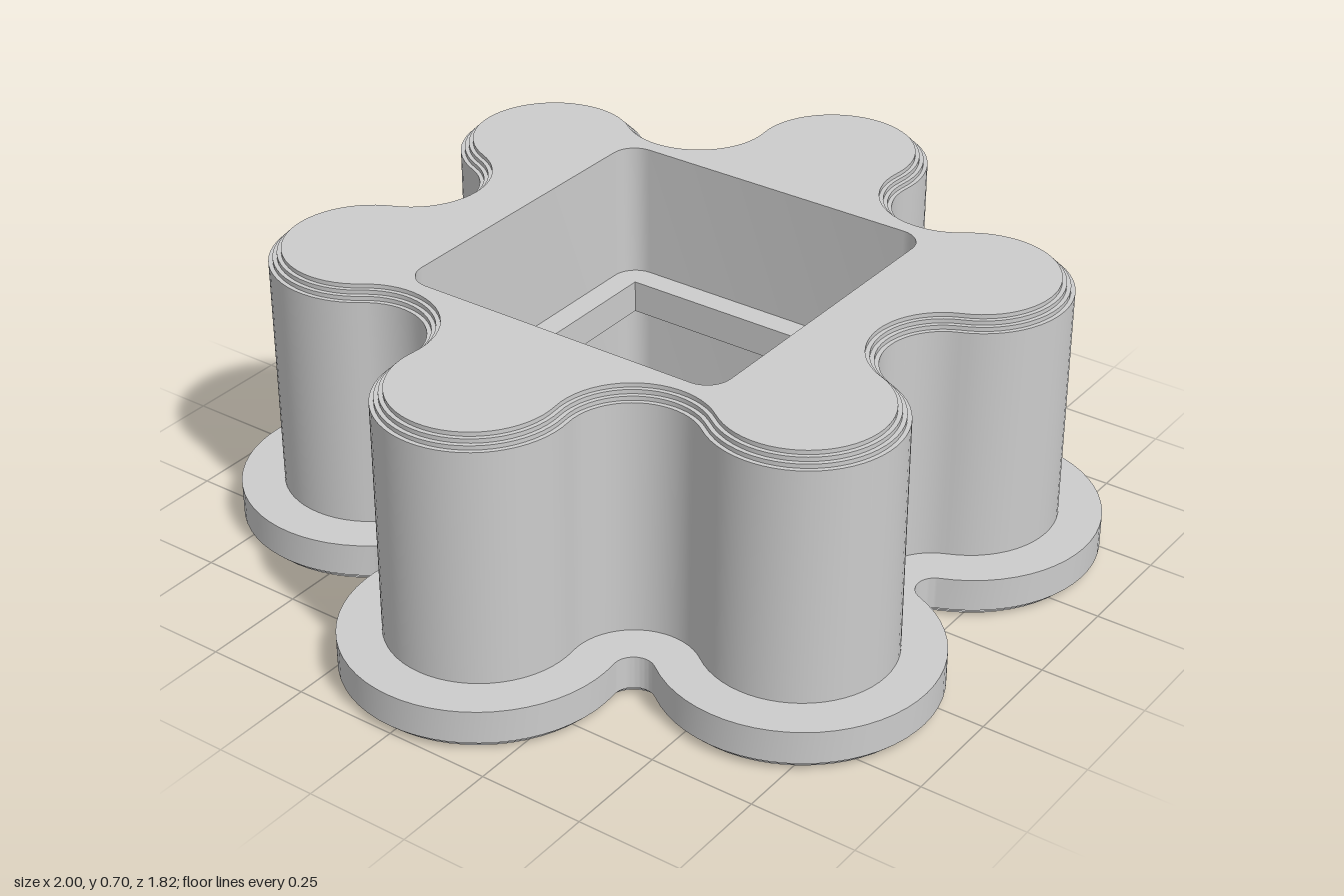
import * as THREE from 'three';
import { toCreasedNormals } from 'three/addons/utils/BufferGeometryUtils.js';

const LOBE_DIST = 0.68, LOBE_R = 0.22, VALLEY_R = 0.147;
const BASE_TOP = 0.1, TOP = 0.7, LIP_LOW = 0.29, LIP_TOP = 0.37;
const HOLE_R = 0.127, POCKET = 0.415, LIP = 0.355;
const GROW = 0.1, STEP = 0.01, BASE_STEPS = 2, BODY_STEPS = 3;

// Six-lobed outline, grown or shrunk by an offset (counter-clockwise)
function flower(offset) {
  const half = LOBE_DIST / 2;
  const valleyDist = LOBE_DIST * Math.cos(Math.PI / 6) + Math.sqrt((LOBE_R + VALLEY_R) ** 2 - half ** 2);
  const tangent = Math.atan2(valleyDist * 0.5, valleyDist * Math.cos(Math.PI / 6) - LOBE_DIST);
  const pts = [];
  const arc = (dist, dir, r, from, to, n) => {
    for (let i = 0; i < n; i++) {
      const a = from + ((to - from) * i) / n;
      pts.push(new THREE.Vector2(dist * Math.cos(dir) + r * Math.cos(a), dist * Math.sin(dir) + r * Math.sin(a)));
    }
  };
  for (let k = 0; k < 6; k++) {
    const d = (k * Math.PI) / 3;
    // convex lobe, then the concave valley swept back the other way
    arc(LOBE_DIST, d, LOBE_R + offset, d - tangent, d + tangent, 32);
    arc(valleyDist, d + Math.PI / 6, VALLEY_R - offset, d + tangent + Math.PI, d + Math.PI / 3 - tangent + Math.PI, 20);
  }
  return pts;
}

// Square with rounded corners (counter-clockwise)
function roundedSquare(h, r) {
  const pts = [];
  for (let k = 0; k < 4; k++) {
    const mid = Math.PI / 4 + (k * Math.PI) / 2;
    const cx = Math.sign(Math.cos(mid)) * (h - r), cy = Math.sign(Math.sin(mid)) * (h - r);
    for (let i = 0; i <= 8; i++) {
      const a = mid - Math.PI / 4 + (i * Math.PI) / 16;
      pts.push(new THREE.Vector2(cx + r * Math.cos(a), cy + r * Math.sin(a)));
    }
  }
  return pts;
}

function circle(r, n = 48) {
  return Array.from({ length: n }, (_, i) => {
    const a = (i / n) * Math.PI * 2;
    return new THREE.Vector2(r * Math.cos(a), r * Math.sin(a));
  });
}

// Wall through stacked rings of [points, height]; inward walls face the axis
function wall(rings, inward = false) {
  const n = rings[0][0].length, pos = [], index = [];
  for (const [pts, y] of rings) for (const p of pts) pos.push(p.x, y, -p.y);
  for (let r = 0; r < rings.length - 1; r++) {
    for (let i = 0; i < n; i++) {
      const a = r * n + i, b = r * n + ((i + 1) % n), c = b + n, d = a + n;
      if (inward) index.push(a, c, b, a, d, c);
      else index.push(a, b, c, a, c, d);
    }
  }
  const g = new THREE.BufferGeometry();
  g.setAttribute('position', new THREE.Float32BufferAttribute(pos, 3));
  g.setIndex(index);
  return toCreasedNormals(g, 0.6);
}

// Flat face with a hole, facing up or down
function face(outer, hole, y, down = false) {
  const s = new THREE.Shape(outer);
  s.holes.push(new THREE.Path(hole));
  const g = new THREE.ShapeGeometry(s);
  g.rotateX(down ? Math.PI / 2 : -Math.PI / 2);
  return g.translate(0, y, 0);
}

export function createModel() {
  const model = new THREE.Group();
  const grey = new THREE.MeshStandardMaterial({ color: 0xcccccc });
  grey.name = 'grey';
  const add = (parent, name, geometry) => {
    const m = new THREE.Mesh(geometry, grey);
    m.name = name;
    parent.add(m);
  };
  const part = (name) => {
    const g = new THREE.Group();
    g.name = name;
    model.add(g);
    return g;
  };

  // Finely stepped edges: under the base and around the top of the body
  const baseRings = [], bodyRings = [];
  for (let i = BASE_STEPS; i >= 0; i--) {
    const low = (BASE_STEPS - i) * STEP, outline = flower(GROW - i * STEP);
    baseRings.push([outline, low], [outline, i ? low + STEP : BASE_TOP]);
  }
  for (let i = 0; i <= BODY_STEPS; i++) {
    const high = TOP - (BODY_STEPS - i) * STEP, outline = flower(-i * STEP);
    bodyRings.push([outline, i ? high - STEP : BASE_TOP], [outline, high]);
  }

  // Base flange with a round centre hole
  const base = part('base');
  const hole = circle(HOLE_R);
  add(base, 'baseSide', wall(baseRings));
  add(base, 'baseUnderside', face(flower(GROW - BASE_STEPS * STEP), hole, 0, true));
  add(base, 'baseTop', face(flower(GROW), hole, BASE_TOP));
  add(base, 'centreHole', wall([[hole, 0], [hole, BASE_TOP]], true));

  // Lobed body with a square pocket
  const body = part('body');
  const pocket = roundedSquare(POCKET, 0.06);
  add(body, 'bodySide', wall(bodyRings));
  add(body, 'bodyTop', face(flower(-BODY_STEPS * STEP), pocket, TOP));
  add(body, 'pocketWall', wall([[pocket, BASE_TOP], [pocket, TOP]], true));

  // Square lip part way down the pocket
  const opening = [[-1, -1], [1, -1], [1, 1], [-1, 1]].map(([x, y]) => new THREE.Vector2(x * LIP, y * LIP));
  const lip = part('pocketLip');
  add(lip, 'lipTop', face(pocket, opening, LIP_TOP));
  add(lip, 'lipUnderside', face(pocket, opening, LIP_LOW, true));
  add(lip, 'lipEdge', wall([[opening, LIP_LOW], [opening, LIP_TOP]], true));

  return model;
}
